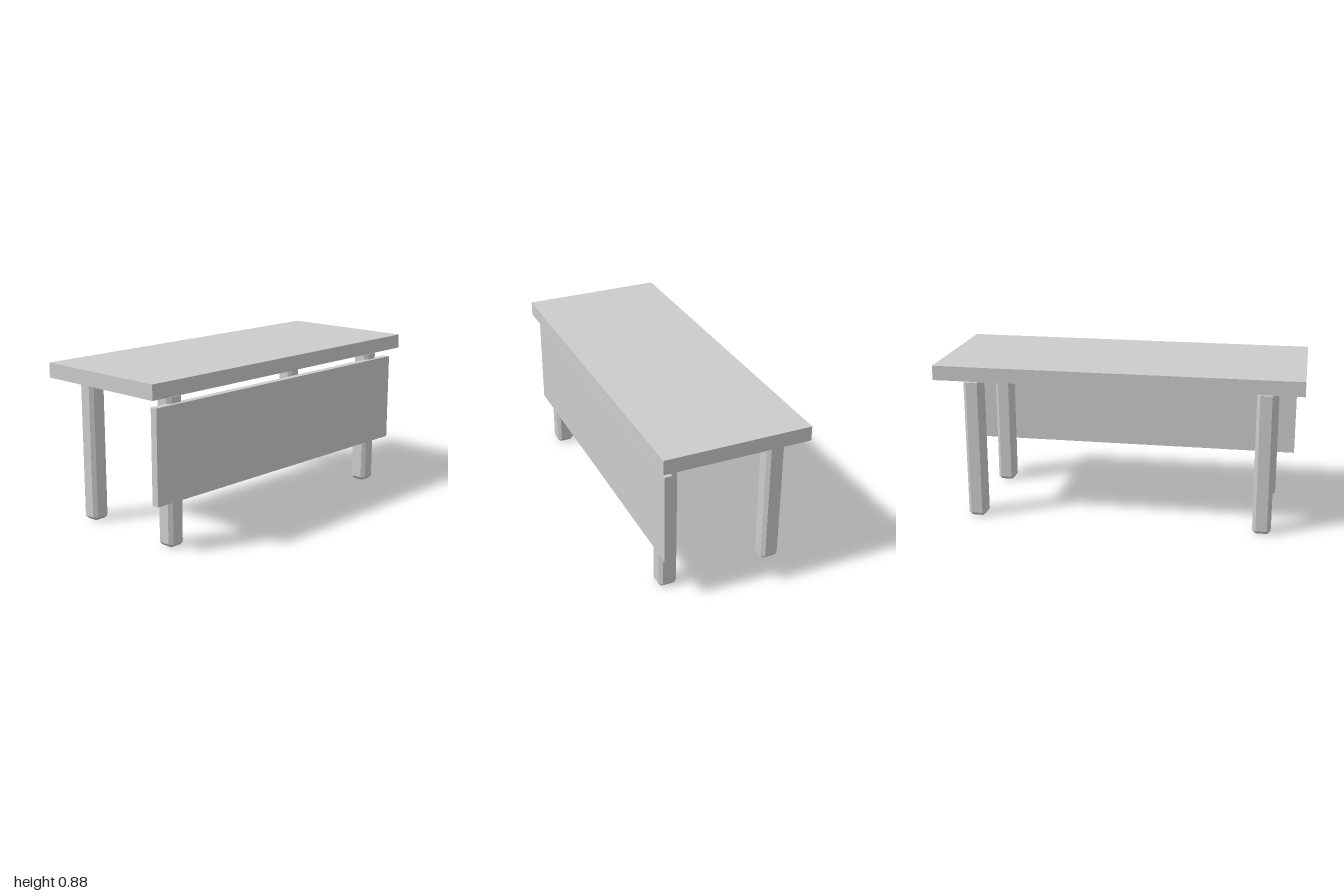
import * as THREE from 'three';
import { ConvexGeometry } from 'three/addons/geometries/ConvexGeometry.js';

// Box with every edge cut at 45 degrees
function chamferedBox(w, h, d, c) {
  const points = [];
  for (const sx of [-1, 1]) for (const sy of [-1, 1]) for (const sz of [-1, 1]) {
    const x = w / 2, y = h / 2, z = d / 2;
    points.push(
      new THREE.Vector3(sx * x, sy * (y - c), sz * (z - c)),
      new THREE.Vector3(sx * (x - c), sy * y, sz * (z - c)),
      new THREE.Vector3(sx * (x - c), sy * (y - c), sz * z));
  }
  return new ConvexGeometry(points);
}

export function createModel() {
  const desk = new THREE.Group();
  desk.name = 'desk';

  const grey = new THREE.MeshStandardMaterial({ color: 0xcccccc });
  grey.name = 'plain grey';

  function add(name, geometry, x, y, z) {
    const mesh = new THREE.Mesh(geometry, grey);
    mesh.name = name;
    mesh.position.set(x, y, z);
    desk.add(mesh);
  }

  // Flat top and the modesty panel hung across the front legs
  add('deskTop', new THREE.BoxGeometry(2, 0.08, 0.8), 0, 0.84, 0);
  add('frontPanel', new THREE.BoxGeometry(1.9, 0.5, 0.04), 0, 0.5, 0.35);

  // Four chamfered legs
  const legGeometry = chamferedBox(0.1, 0.8, 0.1, 0.0185);
  for (const [side, x] of [['Left', 0.8], ['Right', -0.8]]) {
    add(`front${side}Leg`, legGeometry, x, 0.4, 0.3);
    add(`back${side}Leg`, legGeometry, x, 0.4, -0.3);
  }

  return desk;
}
